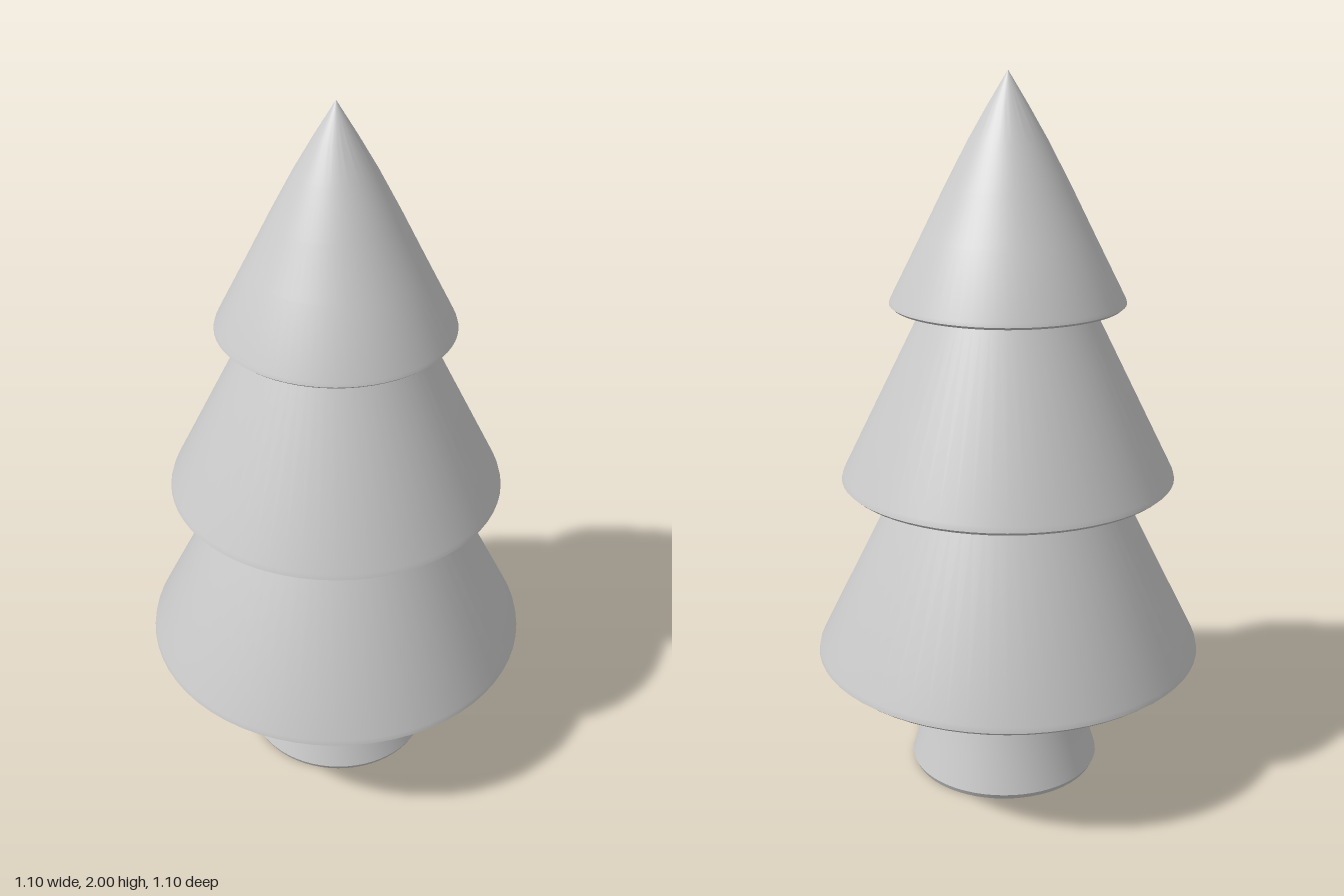
import * as THREE from 'three';
import { toCreasedNormals } from 'three/addons/utils/BufferGeometryUtils.js';

const material = new THREE.MeshStandardMaterial({ color: 0xcccccc });

// Solid of revolution from [radius, height] points listed bottom to top
function turned(name, profile) {
  const points = profile.map(([r, y]) => new THREE.Vector2(r, y));
  const geometry = toCreasedNormals(new THREE.LatheGeometry(points, 64), Math.PI / 6);
  const mesh = new THREE.Mesh(geometry, material);
  mesh.name = name;
  return mesh;
}

export function createModel() {
  const tree = new THREE.Group();
  tree.name = 'tree';

  // Trunk flares towards the ground and sits slightly forward
  const trunk = turned('trunk', [
    [0, 0], [0.268, 0], [0.275, 0.015], [0.25, 0.1], [0.222, 0.2],
    [0.203, 0.29], [0.195, 0.37], [0.195, 0.42], [0, 0.42],
  ]);
  trunk.position.z = 0.02;
  tree.add(trunk);

  // Foliage tiers: flat underside, thin rim, sloping side
  tree.add(turned('lowerFoliage', [
    [0, 0.37], [0.535, 0.37], [0.55, 0.382], [0.547, 0.397], [0.302, 0.89], [0.28, 0.94], [0, 0.94],
  ]));
  tree.add(turned('middleFoliage', [
    [0, 0.89], [0.455, 0.89], [0.467, 0.9], [0.463, 0.914], [0.23, 1.385], [0.21, 1.43], [0, 1.43],
  ]));
  tree.add(turned('topFoliage', [
    [0, 1.385], [0.315, 1.385], [0.323, 1.392], [0.32, 1.402],
    [0.235, 1.57], [0.17, 1.7], [0.107, 1.82], [0.055, 1.91], [0, 2],
  ]));

  return tree;
}
